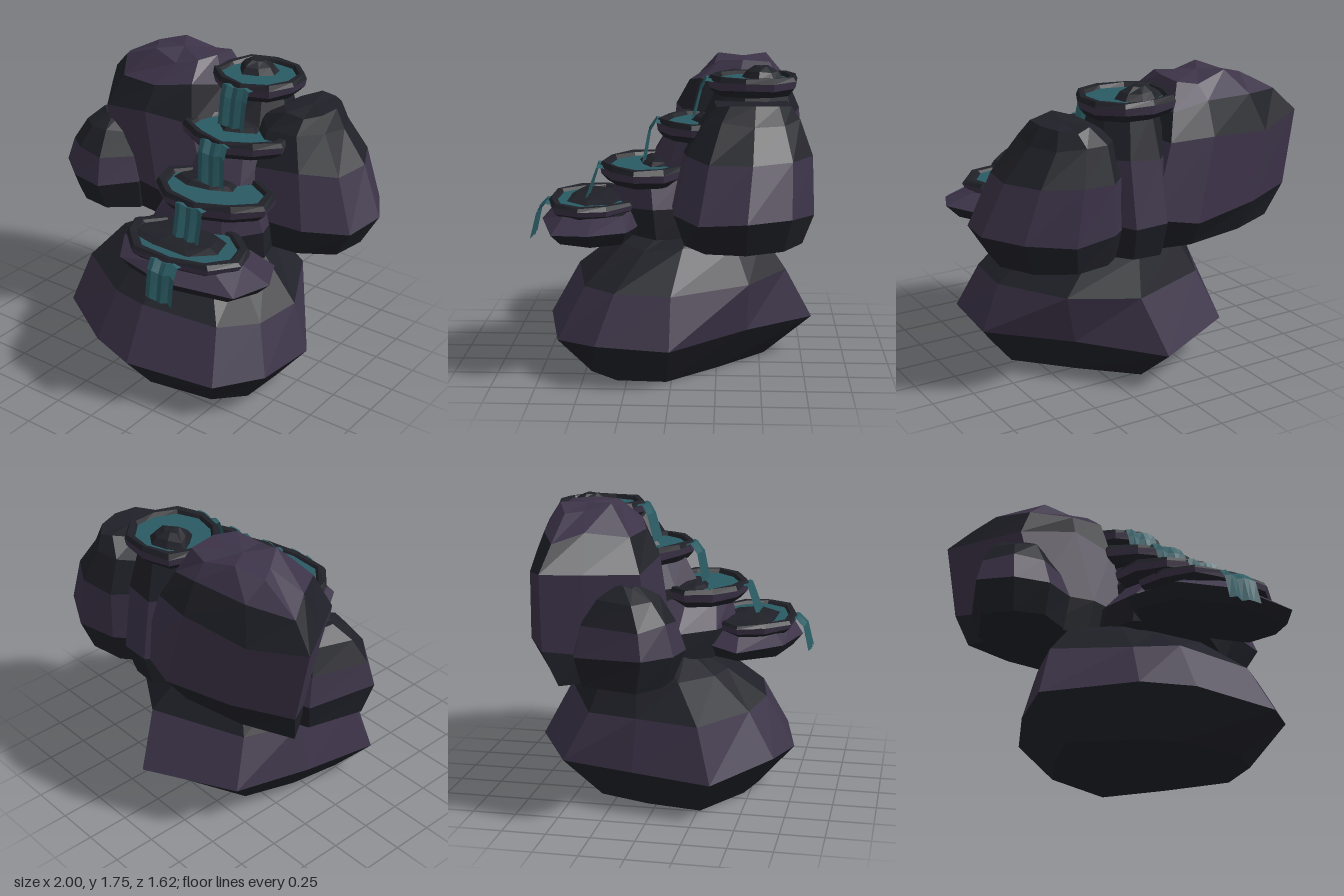
import * as THREE from 'three';

const flat = (name, color, side = THREE.FrontSide) =>
  Object.assign(new THREE.MeshStandardMaterial({ color, side, flatShading: true }), { name });

// Fits an outline of [x, z] points into the box of one level
function fit(outline, [, x0, x1, z0, z1]) {
  const xs = outline.map(p => p[0]), zs = outline.map(p => p[1]);
  const ax = Math.min(...xs), az = Math.min(...zs);
  const w = Math.max(...xs) - ax, d = Math.max(...zs) - az;
  return outline.map(([x, z]) => [x0 + (x1 - x0) * (x - ax) / w, z0 + (z1 - z0) * (z - az) / d]);
}

// Stacks an outline through levels [y, xMin, xMax, zMin, zMax, own outline if any];
// bands holds one material index per band, the last entry being the top cap.
function loft(name, outline, levels, bands, materials, bump = 0) {
  const n = outline.length;
  const rings = levels.map((level, k) => fit(level[5] || outline, level).map(([x, z], i) =>
    [x, level[0] + (k ? bump * Math.sin(i * 2.3 + k * 1.7) : 0), z]));
  const pos = [], geo = new THREE.BufferGeometry();
  const middle = ([y, a, b, c, e]) => [(a + b) / 2, y, (c + e) / 2];
  const addBand = (index, make) => {
    const start = pos.length / 3;
    for (let i = 0; i < n; i++) make(i, (i + 1) % n).forEach(p => pos.push(...p));
    geo.addGroup(start, pos.length / 3 - start, index);
  };
  const last = rings[rings.length - 1], top = middle(levels[levels.length - 1]);
  top[1] += bump * 0.6;
  addBand(0, (i, j) => [middle(levels[0]), rings[0][i], rings[0][j]]);
  for (let k = 0; k < rings.length - 1; k++) {
    const lo = rings[k], hi = rings[k + 1];
    addBand(bands[k], (i, j) => [lo[i], hi[i], lo[j], lo[j], hi[i], hi[j]]);
  }
  addBand(bands[bands.length - 1], (i, j) => [top, last[j], last[i]]);
  geo.setAttribute('position', new THREE.Float32BufferAttribute(pos, 3));
  geo.computeVertexNormals();
  const mesh = new THREE.Mesh(geo, materials);
  mesh.name = name;
  return mesh;
}

// Slightly uneven ring of n points
const roundish = (n, wobble, phase) => Array.from({ length: n }, (_, i) => {
  const a = (i + 0.3) / n * Math.PI * 2, r = 1 + wobble * Math.sin(i * 2.7 + phase);
  return [r * Math.cos(a), r * Math.sin(a)];
});

// Pleated sheet of water hung along a path of [x, y, z] points
function waterfall(path, width, material) {
  const cols = 5, geo = new THREE.PlaneGeometry(1, 1, cols, path.length - 1);
  const p = geo.attributes.position;
  for (let r = 0; r < path.length; r++) {
    for (let c = 0; c <= cols; c++) {
      const [x, y, z] = path[r], pleat = c % 2 ? 0.005 : -0.005;
      p.setXYZ(r * (cols + 1) + c, x + (c / cols - 0.5) * width,
        y + Math.sin(c * 2.1) * 0.008, z + pleat * (0.4 + r * 0.4));
    }
  }
  geo.computeVertexNormals();
  const mesh = new THREE.Mesh(geo, material);
  mesh.name = 'waterfall';
  return mesh;
}

export function createModel() {
  const model = new THREE.Group();
  model.name = 'rockFountain';
  const charcoal = flat('charcoal rock', 0x202128);
  const purple = flat('purple rock', 0x3c3348);
  const teal = flat('teal water', 0x2a5b63, THREE.DoubleSide);
  const stone = [charcoal, purple];

  // Wide base boulder, its foot cut back at one rear corner
  const baseFoot = [[0.78, 0.42], [0.58, 0.65], [0.05, 0.75], [-0.24, 0.66], [-0.69, 0.36],
    [-0.62, -0.1], [-0.48, -0.54], [0.05, -0.81], [0.43, -0.42], [0.8, 0.01]];
  const baseShoulder = [[0.78, 0.42], [0.58, 0.65], [0.05, 0.75], [-0.24, 0.66], [-0.69, 0.36],
    [-0.62, -0.1], [-0.45, -0.5], [0.16, -0.81], [0.56, -0.53], [0.81, 0.02]];
  model.add(loft('baseRock', baseFoot,
    [[0, -0.49, 0.62, -0.53, 0.53], [0.24, -0.69, 0.81, -0.81, 0.74],
      [0.53, -0.6, 0.71, -0.65, 0.57, baseShoulder],
      [0.72, -0.44, 0.46, -0.51, 0.34, baseShoulder],
      [0.83, -0.22, 0.25, -0.42, 0.14, baseShoulder]],
    [0, 1, 0, 0, 0], stone, 0.015));

  // Tall boulder at the back
  model.add(loft('tallRock',
    [[0.1, -0.35], [0, -0.05], [-0.3, 0.05], [-0.66, 0], [-0.86, -0.3],
      [-1, -0.52], [-0.65, -0.68], [-0.2, -0.77], [0.08, -0.72]],
    [[0.8, -0.85, 0.07, -0.65, 0], [0.99, -0.92, 0.13, -0.77, 0.05],
      [1.42, -1, 0.0, -0.73, 0.01], [1.6, -0.86, -0.06, -0.65, -0.07],
      [1.72, -0.62, -0.13, -0.57, -0.22]],
    [0, 1, 0, 1, 1], stone, 0.028));

  // Rounded boulder on the other side
  model.add(loft('sideRock',
    [[1, -0.42], [0.96, -0.16], [0.73, -0.02], [0.4, 0.01], [0.15, -0.2],
      [0.14, -0.55], [0.38, -0.75], [0.63, -0.79], [0.87, -0.66]],
    [[0.8, 0.18, 0.89, -0.72, -0.05], [0.98, 0.12, 1, -0.78, 0.01],
      [1.28, 0.17, 0.87, -0.77, -0.06], [1.47, 0.24, 0.72, -0.7, -0.16],
      [1.56, 0.38, 0.66, -0.65, -0.23]],
    [0, 1, 0, 0, 0], stone, 0.012));

  // Low boulder in front of the tall one
  model.add(loft('smallRock',
    [[-0.42, 0.04], [-0.6, 0.2], [-0.8, 0.17], [-0.97, 0.03], [-0.87, -0.36],
      [-0.65, -0.45], [-0.42, -0.3]],
    [[0.8, -0.92, -0.42, -0.4, 0.13], [0.98, -0.97, -0.4, -0.45, 0.2],
      [1.14, -0.93, -0.45, -0.4, 0.15], [1.27, -0.86, -0.51, -0.34, 0.06],
      [1.34, -0.77, -0.62, -0.24, -0.06]],
    [0, 1, 0, 0, 0], stone, 0.012));

  // Stepped rocks carrying the pools
  const ledge = [[0.82, 0.44], [0.73, 0.65], [0.32, 0.75], [-0.03, 0.67], [-0.2, 0.42],
    [-0.1, 0.25], [0.2, 0.18], [0.5, 0.2], [0.72, 0.24]];
  const steps = [
    [[0.8, -0.14, 0.74, 0.22, 0.69], [0.87, -0.2, 0.82, 0.18, 0.75],
      [0.94, -0.06, 0.64, 0.22, 0.68]],
    [[0.8, -0.2, 0.55, -0.3, 0.34], [0.96, -0.19, 0.55, -0.3, 0.37],
      [1.12, -0.04, 0.5, -0.2, 0.33]],
    [[0.8, -0.15, 0.5, -0.6, 0.15], [1.18, -0.12, 0.47, -0.55, 0.14],
      [1.36, -0.06, 0.42, -0.45, 0.04]],
    [[0.8, -0.12, 0.36, -0.7, -0.1], [1.0, -0.15, 0.4, -0.76, -0.05],
      [1.36, -0.13, 0.4, -0.7, -0.12], [1.6, -0.06, 0.33, -0.64, -0.24]],
  ];
  steps.forEach((levels, i) => model.add(
    loft('stepRock', i ? roundish(9, 0.06, i) : ledge, levels, [0, 1, 0, 0], stone, 0.01)));

  // Pools: [xMin, xMax, zMin, zMax, bottom, top],
  // islands: [xMin, xMax, zMin, zMax, height]
  const pools = [
    { box: [-0.13, 0.68, 0.2, 0.71, 0.92, 1.0], island: [-0.09, 0.52, 0.26, 0.61, 0.03] },
    { box: [-0.14, 0.63, -0.12, 0.42, 1.09, 1.2], island: [-0.05, 0.36, -0.02, 0.21, 0.04] },
    { box: [-0.14, 0.53, -0.4, 0.1, 1.33, 1.44], island: [0.03, 0.31, -0.29, -0.09, 0.05] },
    { box: [-0.13, 0.4, -0.7, -0.19, 1.57, 1.68], island: [-0.06, 0.22, -0.62, -0.38, 0.07] },
  ];
  // Scales a box [xMin, xMax, zMin, zMax] about its centre at height y
  const scaled = ([x0, x1, z0, z1], y, s) => {
    const cx = (x0 + x1) / 2, cz = (z0 + z1) / 2, hx = s * (x1 - x0) / 2, hz = s * (z1 - z0) / 2;
    return [y, cx - hx, cx + hx, cz - hz, cz + hz];
  };
  pools.forEach(({ box, island }, i) => {
    const pool = new THREE.Group();
    pool.name = 'pool';
    const [y0, y1] = box.slice(4);
    const level = (t, s) => scaled(box, y0 + (y1 - y0) * t, s);
    const outline = roundish(10, 0.05, i * 1.3);
    pool.add(loft('poolRim', outline,
      [level(0, 0.84), level(0.35, 0.97), level(0.75, 1), level(1, 0.95),
        level(0.97, 0.84), level(0.65, 0.77)],
      [0, 1, 0, 0, 0, 0], stone, 0.004));
    // Thin sheet of water inside the rim
    pool.add(loft('poolWater', outline, [level(0.72, 0.8), level(0.78, 0.8)],
      [0, 0], [teal]));
    const y = y0 + (y1 - y0) * 0.74, h = island[4];
    pool.add(loft('poolIsland', roundish(8, 0.14, i),
      [scaled(island, y, 1), scaled(island, y + h * 0.6, 0.75), scaled(island, y + h, 0.35)],
      [0, 0, 0], stone, 0.004));
    model.add(pool);
  });

  // Falls spilling from each pool to the next
  const falls = [
    [[0.32, 0.97, 0.66], [0.32, 0.98, 0.72], [0.33, 0.93, 0.765], [0.34, 0.78, 0.8]],
    [[0.27, 1.17, 0.36], [0.27, 1.18, 0.43], [0.28, 1.12, 0.45], [0.29, 1.0, 0.49]],
    [[0.2, 1.41, 0.04], [0.2, 1.43, 0.1], [0.21, 1.37, 0.14], [0.23, 1.2, 0.17]],
    [[0.15, 1.65, -0.25], [0.15, 1.66, -0.18], [0.155, 1.6, -0.15], [0.165, 1.44, -0.11]],
  ];
  falls.forEach(path => model.add(waterfall(path, 0.19, teal)));

  return model;
}
